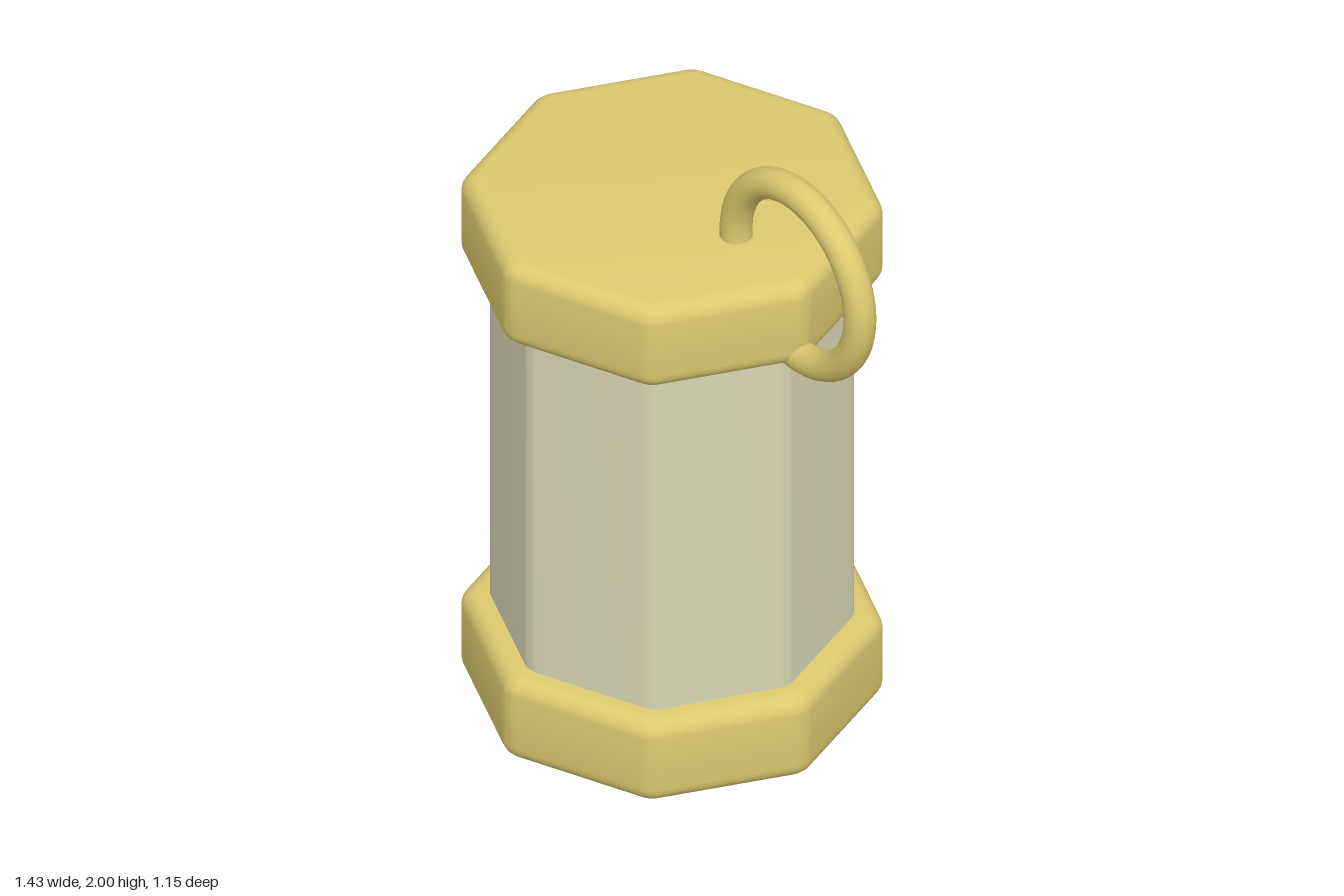
import * as THREE from 'three';
import { toCreasedNormals } from 'three/addons/utils/BufferGeometryUtils.js';

const CENTER_X = -0.145;

// Octagonal prism with rounded upright corners and an optional rounded rim
function octagonPrism(radius, corner, height, bevel) {
  const shape = new THREE.Shape();
  for (let i = 0; i < 8; i++) {
    const a = (i * Math.PI) / 4;
    const d = radius - corner;
    shape.absarc(d * Math.cos(a), d * Math.sin(a), corner, a - Math.PI / 8, a + Math.PI / 8, false);
  }
  const geometry = new THREE.ExtrudeGeometry(shape, {
    depth: height - 2 * bevel,
    curveSegments: 4,
    bevelEnabled: bevel > 0,
    bevelThickness: bevel,
    bevelSize: bevel,
    bevelOffset: -bevel,
    bevelSegments: 5,
  });
  geometry.rotateX(-Math.PI / 2);
  geometry.translate(0, bevel, 0);
  return toCreasedNormals(geometry, 0.6);
}

export function createModel() {
  const model = new THREE.Group();
  const gold = new THREE.MeshStandardMaterial({ color: 0xdcc96e });
  gold.name = 'gold';
  const ivory = new THREE.MeshStandardMaterial({ color: 0xd9d6b4 });
  ivory.name = 'ivory';

  const add = (name, geometry, material, x, y) => {
    const mesh = new THREE.Mesh(geometry, material);
    mesh.name = name;
    mesh.position.set(x, y, 0);
    model.add(mesh);
  };

  // Body running between the two caps
  add('body', octagonPrism(0.497, 0.08, 1.26, 0), ivory, CENTER_X, 0.2);

  // Matching end caps
  const cap = octagonPrism(0.575, 0.075, 0.27, 0.05);
  add('bottomCap', cap, gold, CENTER_X, 0);
  add('topCap', cap, gold, CENTER_X, 1.397);

  // Hanging ring through the edge of the top cap
  add('ring', new THREE.TorusGeometry(0.268, 0.045, 20, 64), gold, 0.4, 1.687);

  return model;
}
